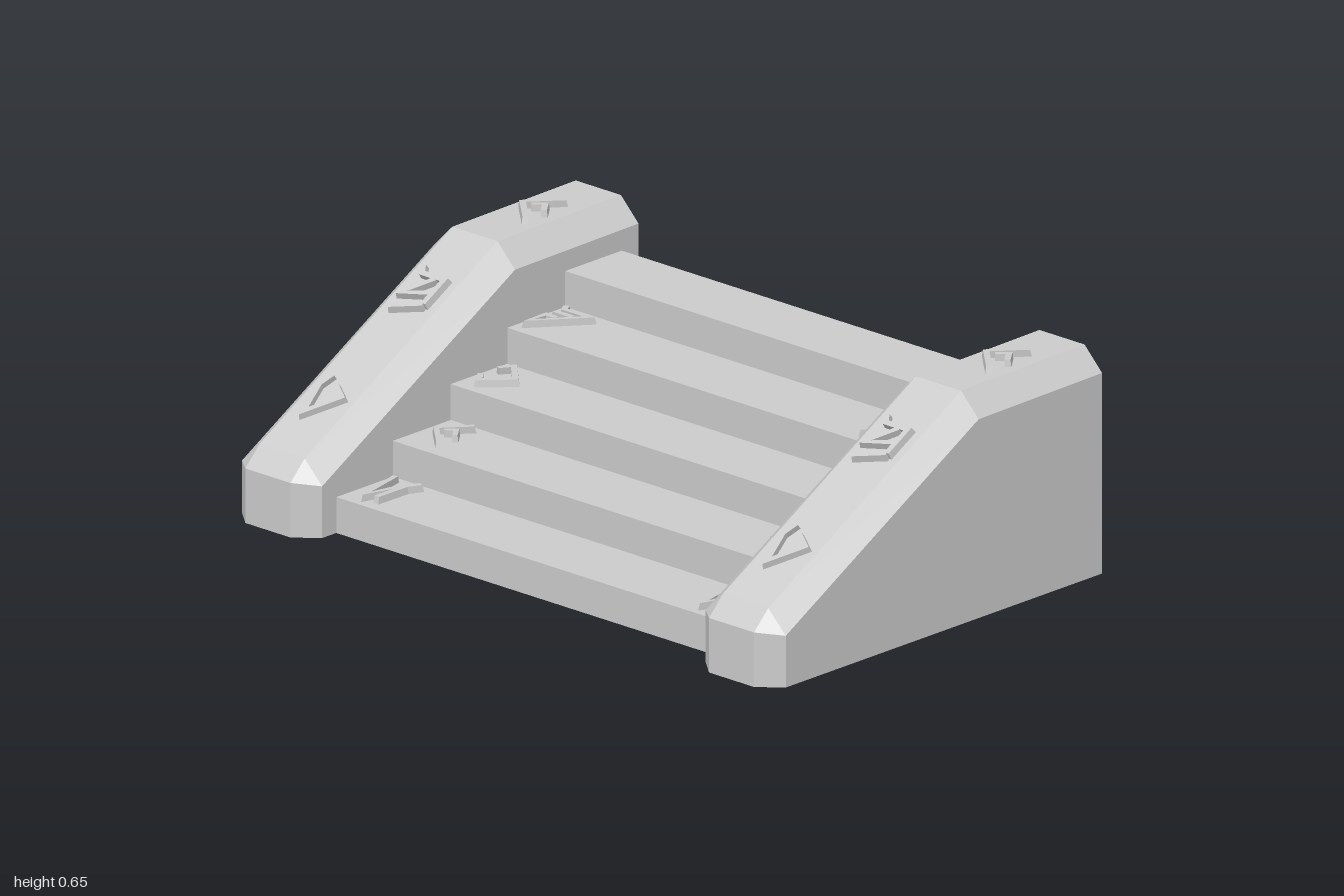
import * as THREE from 'three';

const stone = new THREE.MeshStandardMaterial({ color: 0xcccccc, flatShading: true });
const thinStone = new THREE.MeshStandardMaterial({ color: 0xcccccc, flatShading: true, side: THREE.DoubleSide });

// Side walls: [z, y] outlines of the raised middle strip and of the chamfered flanks
const WALL_X = 0.8525;
const middle = [[0.665, 0], [0.665, 0.155], [0.61, 0.21], [-0.14, 0.63], [-0.62, 0.635], [-0.665, 0.57], [-0.665, 0]];
const flank = [[0.61, 0], [0.61, 0.147], [0.61, 0.147], [-0.14, 0.565], [-0.62, 0.57], [-0.62, 0.57], [-0.62, 0]];

function wallGeometry() {
  const rings = [[-0.1475, flank], [-0.083, middle], [0.083, middle], [0.1475, flank]]
    .map(([x, outline]) => outline.map(([z, y]) => new THREE.Vector3(x, y, z)));
  const points = [];
  const tri = (a, b, c) => {
    if (!a.equals(b) && !b.equals(c) && !c.equals(a)) points.push(a, b, c);
  };
  const n = middle.length;
  for (let i = 0; i < 3; i++) {
    for (let j = 0; j < n; j++) {
      const k = (j + 1) % n;
      const a = rings[i][j], b = rings[i][k], c = rings[i + 1][k], d = rings[i + 1][j];
      tri(a, d, c);
      tri(a, c, b);
    }
  }
  // flat outer and inner faces
  for (let j = 1; j < n - 1; j++) {
    tri(rings[0][0], rings[0][j], rings[0][j + 1]);
    tri(rings[3][0], rings[3][j + 1], rings[3][j]);
  }
  const geometry = new THREE.BufferGeometry().setFromPoints(points);
  geometry.computeVertexNormals();
  return geometry;
}

// Stairs: a folded sheet, open underneath, with a bevelled rear edge
function stairGeometry() {
  const risers = [0.555, 0.335, 0.11, -0.11, -0.335, -0.555];
  const path = [[0.555, 0]];
  for (let i = 0; i < 5; i++) {
    const y = 0.102 * (i + 1);
    path.push([risers[i], y], [risers[i + 1], y]);
  }
  path.push([-0.59, 0.475], [-0.59, 0]);
  const points = [];
  for (let i = 0; i < path.length - 1; i++) {
    const corner = (x, [z, y]) => new THREE.Vector3(x, y, z);
    const a = corner(-0.705, path[i]), b = corner(0.705, path[i]);
    const c = corner(0.705, path[i + 1]), d = corner(-0.705, path[i + 1]);
    points.push(a, b, c, a, c, d);
  }
  const geometry = new THREE.BufferGeometry().setFromPoints(points);
  geometry.computeVertexNormals();
  return geometry;
}

// Raised angular ornament: each stroke is a mitred ribbon, extruded and tapered upwards
function strokeShape(line, width) {
  const p = line.map(([x, y]) => new THREE.Vector2(x, y));
  const normal = (a, b) => new THREE.Vector2(a.y - b.y, b.x - a.x).normalize();
  const left = [], right = [];
  p.forEach((q, i) => {
    const before = normal(p[Math.max(i - 1, 0)], p[Math.max(i, 1)]);
    const after = normal(p[Math.min(i, p.length - 2)], p[Math.min(i + 1, p.length - 1)]);
    const m = before.clone().add(after).normalize();
    m.multiplyScalar(width / 2 / Math.max(m.dot(after), 0.5));
    left.push(q.clone().add(m));
    right.unshift(q.clone().sub(m));
  });
  return new THREE.Shape([...left, ...right]);
}

function ornament(strokes, size = 1) {
  const shapes = strokes.map((line) => strokeShape(line, 0.018));
  const geometry = new THREE.ExtrudeGeometry(shapes, { depth: 0.02, bevelEnabled: false });
  const pos = geometry.attributes.position;
  for (let i = 0; i < pos.count; i++) {
    if (pos.getZ(i) > 0.01) pos.setXY(i, pos.getX(i) * 0.94, pos.getY(i) * 0.94);
  }
  geometry.scale(size, size, 1);
  geometry.computeVertexNormals();
  return geometry;
}

const hook = [
  [[0.035, 0.095], [-0.045, 0], [0.052, -0.09]],
  [[-0.012, 0.002], [0.018, 0.028], [0.052, -0.015]],
];
const zigzag = [
  [[-0.052, 0.085], [-0.035, 0.06], [0.05, 0.06], [0.05, -0.04]],
  [[0.02, 0.055], [-0.045, -0.025], [0.05, 0.005]],
  [[-0.05, -0.08], [0.05, -0.04]],
];
const wedge = [[[-0.035, 0.075], [-0.05, 0.03], [-0.025, -0.075], [0.052, 0.01], [0.0, 0.045]]];
const bolt = [
  [[-0.055, 0.08], [-0.04, 0.055], [0.055, 0.055], [-0.05, -0.08], [-0.05, -0.01], [-0.01, -0.01]],
  [[-0.05, 0.025], [0.02, 0.025]],
];
const chevron = [[[-0.05, 0.035], [-0.025, 0.075], [0.052, 0], [-0.02, -0.075], [-0.05, -0.035]]];
const fork = [
  [[-0.05, 0.08], [-0.01, -0.08], [0.012, 0], [0.05, 0.08]],
  [[0.03, 0.05], [0.028, -0.08]],
];

export function createModel() {
  const model = new THREE.Group();
  const add = (name, geometry, material, x = 0, y = 0, z = 0, tilt = 0) => {
    const mesh = new THREE.Mesh(geometry, material);
    mesh.name = name;
    mesh.position.set(x, y, z);
    mesh.rotation.x = tilt;
    model.add(mesh);
  };

  add('stairs', stairGeometry(), thinStone);

  const wall = wallGeometry();
  const flat = -Math.PI / 2;
  const sloped = flat + Math.atan2(0.42, 0.75);
  // [geometry, y, z, tilt]
  const wallOrnaments = [
    [ornament(hook), 0.633, -0.37, flat],
    [ornament(zigzag), 0.512, 0.07, sloped],
    [ornament(wedge), 0.308, 0.43, sloped],
  ];
  const treadOrnaments = [
    [ornament(fork), 0.102, 0.44, flat],
    [ornament(hook, 0.88), 0.204, 0.217, flat],
    [ornament(chevron), 0.306, 0, flat],
    [ornament(bolt), 0.408, -0.23, flat],
  ];

  for (const [side, sign] of [['left', 1], ['right', -1]]) {
    add(side + 'Wall', wall, stone, sign * WALL_X);
    for (const [geometry, y, z, tilt] of wallOrnaments) {
      add(side + 'WallOrnament', geometry, stone, sign * WALL_X, y, z, tilt);
    }
    for (const [geometry, y, z, tilt] of treadOrnaments) {
      add(side + 'TreadOrnament', geometry, stone, sign * 0.62, y, z, tilt);
    }
  }
  return model;
}
